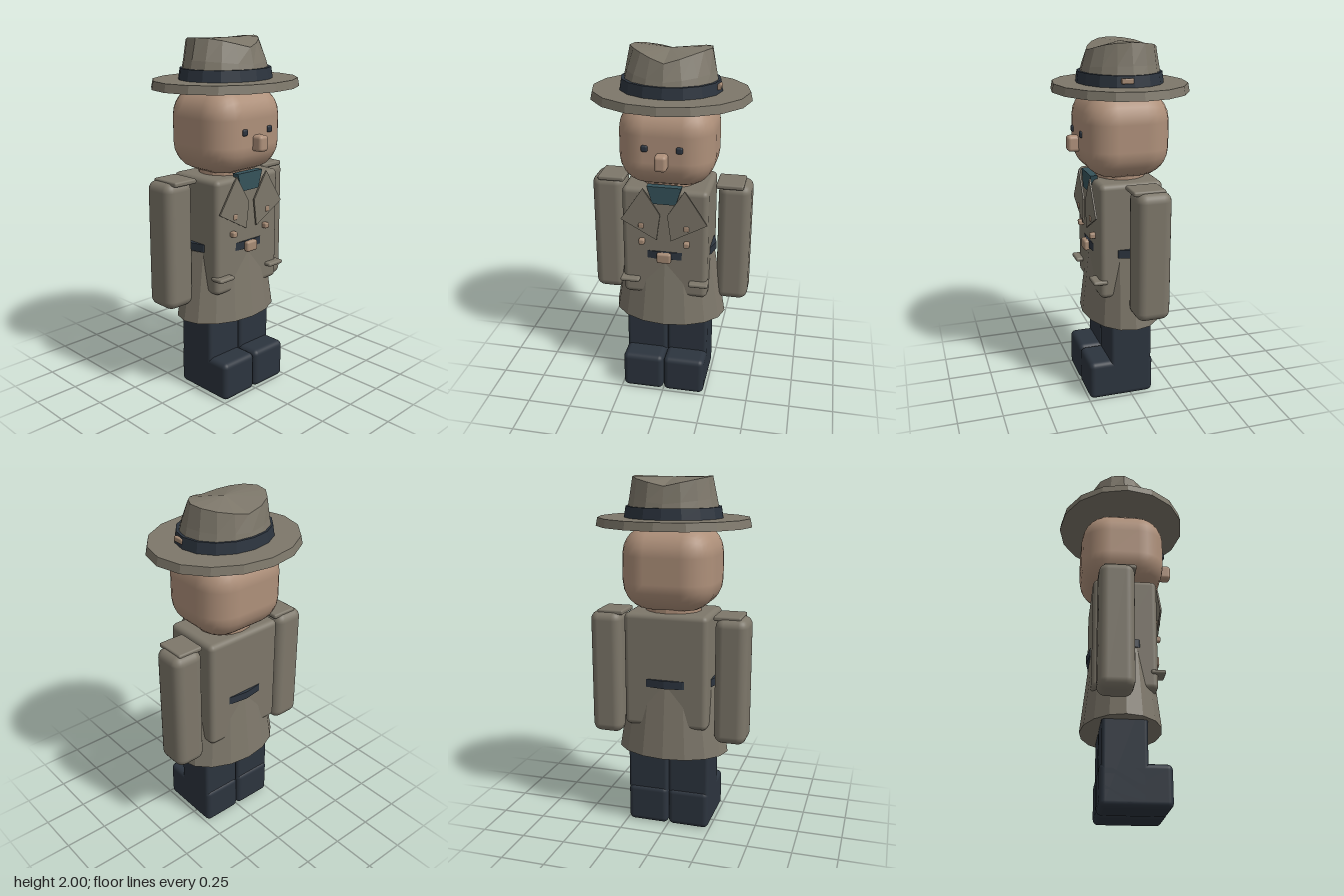
import * as THREE from 'three';
import { RoundedBoxGeometry } from 'three/addons/geometries/RoundedBoxGeometry.js';

const material = (name, color) => {
  const m = new THREE.MeshStandardMaterial({ color });
  m.name = name;
  return m;
};

export function createModel() {
  const model = new THREE.Group();
  const coat = material('coat', 0x7d776a);
  const skin = material('skin', 0xae907a);
  const navy = material('navy', 0x2c343e);
  const teal = material('teal', 0x35525a);
  const tan = material('tan', 0xa58a74);

  const add = (name, geometry, mat, x = 0, y = 0, z = 0) => {
    const mesh = new THREE.Mesh(geometry, mat);
    mesh.name = name;
    mesh.position.set(x, y, z);
    model.add(mesh);
    return mesh;
  };
  const flat = (geometry) => {
    const g = geometry.index ? geometry.toNonIndexed() : geometry;
    g.computeVertexNormals();
    return g;
  };
  // Rounded block given by its extents on each axis
  const block = (name, mat, [x0, x1], [y0, y1], [z0, z1], r, seg = 3) =>
    add(name, new RoundedBoxGeometry(x1 - x0, y1 - y0, z1 - z0, seg, r), mat,
      (x0 + x1) / 2, (y0 + y1) / 2, (z0 + z1) / 2);
  // Faceted elliptical drum; depth is the z to x ratio
  const drum = (name, mat, rTop, rBottom, y0, y1, depth) =>
    add(name, flat(new THREE.CylinderGeometry(rTop, rBottom, y1 - y0, 16).scale(1, 1, depth)),
      mat, 0, (y0 + y1) / 2, 0);
  // Thin extruded plate
  const plate = (name, mat, points, thickness, z) => {
    const shape = new THREE.Shape(points.map(([x, y]) => new THREE.Vector2(x, y)));
    return add(name, new THREE.ExtrudeGeometry(shape, { depth: thickness, bevelEnabled: false }), mat, 0, 0, z);
  };

  // Body, skirt and belt
  block('torso', coat, [-0.24, 0.24], [0.62, 1.27], [-0.175, 0.18], 0.03);
  drum('coatSkirt', coat, 0.258, 0.325, 0.45, 0.85, 0.69);
  drum('belt', navy, 0.266, 0.266, 0.855, 0.9, 0.73);
  block('beltBuckle', tan, [-0.04, 0.04], [0.84, 0.9], [0.185, 0.217], 0.012);
  drum('neck', skin, 0.16, 0.16, 1.24, 1.34, 0.9);
  plate('shirtCollar', teal, [[-0.065, 1.19], [0.065, 1.19], [0.095, 1.29], [-0.095, 1.29]], 0.04, 0.152);

  // Mirrored parts
  for (const s of [-1, 1]) {
    const side = s > 0 ? 'left' : 'right';
    const span = (a, b) => (s > 0 ? [a, b] : [-b, -a]);
    block(side + 'Leg', navy, span(0.003, 0.24), [0.01, 0.6], [-0.12, 0.12], 0.02);
    block(side + 'Shoe', navy, span(0.002, 0.24), [0, 0.225], [-0.13, 0.245], 0.03);
    block(side + 'Arm', coat, span(0.27, 0.453), [0.545, 1.26], [-0.157, 0.036], 0.05);
    block(side + 'Epaulette', coat, span(0.26, 0.412), [1.243, 1.27], [-0.13, 0.048], 0.01, 2);
    block(side + 'PocketFlap', coat, span(0.14, 0.25), [0.707, 0.73], [0.14, 0.22], 0.01, 2);
    for (const y of [0.96, 1.06])
      block(side + 'Button', tan, span(0.11, 0.142), [y - 0.016, y + 0.016], [0.175, 0.21], 0.008, 2);
    const lapel = [[0.115, 1.28], [0.24, 1.09], [0.04, 0.98], [0.02, 1.13]];
    plate(side + 'Lapel', coat, lapel.map(([x, y]) => [s * x, y]), 0.009, 0.196);
    block(side + 'Eye', navy, span(0.075, 0.111), [1.502, 1.538], [0.22, 0.25], 0.01, 2);
  }

  // Head
  block('head', skin, [-0.262, 0.262], [1.28, 1.745], [-0.24, 0.24], 0.16, 3);
  block('nose', skin, [-0.033, 0.033], [1.413, 1.5], [0.22, 0.297], 0.018);

  // Hat
  drum('hatBrim', coat, 0.424, 0.434, 1.735, 1.78, 0.855);
  drum('hatBand', navy, 0.267, 0.277, 1.78, 1.84, 0.85);
  block('bandClip', tan, [0.255, 0.276], [1.8, 1.828], [0.005, 0.07], 0.006, 2);

  // Crown: loops pinched at the front, with the rim dipping front and back
  const n = 16, positions = [], index = [];
  for (const t of [0, 0.5, 1]) {
    for (let i = 0; i < n; i++) {
      const a = (i / n) * Math.PI * 2;
      const sx = Math.sin(a), cz = Math.cos(a);
      const diagonal = Math.abs(Math.sin(2 * a));
      const pinch = 1 + t * t * diagonal * (cz > 0 ? -0.13 : 0.06);
      const rx = 0.268 - 0.05 * t, rz = 0.23 - 0.045 * t;
      const top = 1.95 + 0.05 * Math.abs(sx);
      positions.push(sx * rx * pinch, 1.77 + (top - 1.77) * t, cz * rz * pinch);
    }
  }
  positions.push(0, 1.995, 0);
  for (let i = 0; i < n; i++) {
    const j = (i + 1) % n;
    for (const k of [0, n]) index.push(k + i, k + j, k + n + j, k + i, k + n + j, k + n + i);
    index.push(2 * n + i, 2 * n + j, 3 * n);
  }
  const crown = new THREE.BufferGeometry();
  crown.setAttribute('position', new THREE.Float32BufferAttribute(positions, 3));
  crown.setIndex(index);
  add('hatCrown', flat(crown), coat);

  return model;
}
